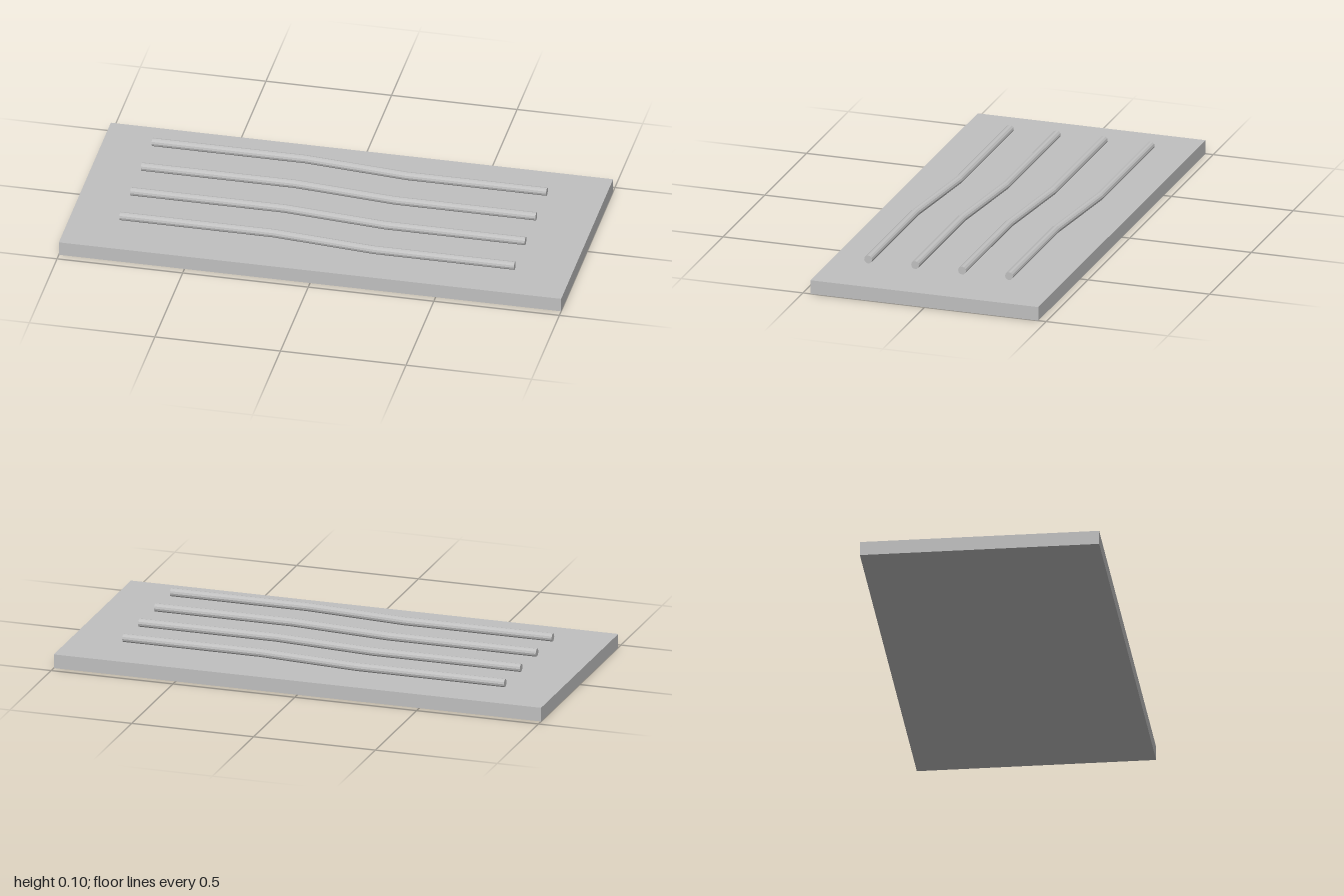
import * as THREE from 'three';

// Stations along each rod: x position and sideways shift in z
const STATIONS = [[-0.80, -0.02], [-0.19, -0.02], [0.22, 0.02], [0.78, 0.02]];
const ROD_RADIUS = 0.0163;

// Cylinder laid along x, its rings moved onto the stations to make the jog
function rodGeometry() {
  const spans = STATIONS.length - 1;
  const geo = new THREE.CylinderGeometry(ROD_RADIUS, ROD_RADIUS, spans, 12, spans);
  geo.rotateZ(-Math.PI / 2);
  const pos = geo.attributes.position;
  for (let i = 0; i < pos.count; i++) {
    const [x, shift] = STATIONS[Math.round(pos.getX(i) + spans / 2)];
    pos.setX(i, x);
    pos.setZ(i, pos.getZ(i) + shift);
  }
  geo.computeVertexNormals();
  return geo;
}

export function createModel() {
  const group = new THREE.Group();
  group.name = 'slabWithBentRods';
  const grey = new THREE.MeshStandardMaterial({ color: 0xc0c0c0, flatShading: true });
  grey.name = 'light grey';

  // Base slab
  const slab = new THREE.Mesh(new THREE.BoxGeometry(2, 0.056, 0.936), grey);
  slab.name = 'baseSlab';
  slab.position.y = 0.028;
  group.add(slab);

  // Four parallel rods floating just above the slab
  const geo = rodGeometry();
  for (let i = 0; i < 4; i++) {
    const rod = new THREE.Mesh(geo, grey);
    rod.name = `bentRod${i + 1}`;
    rod.position.set(0, 0.085, -0.292 + i * 0.193);
    group.add(rod);
  }
  return group;
}
